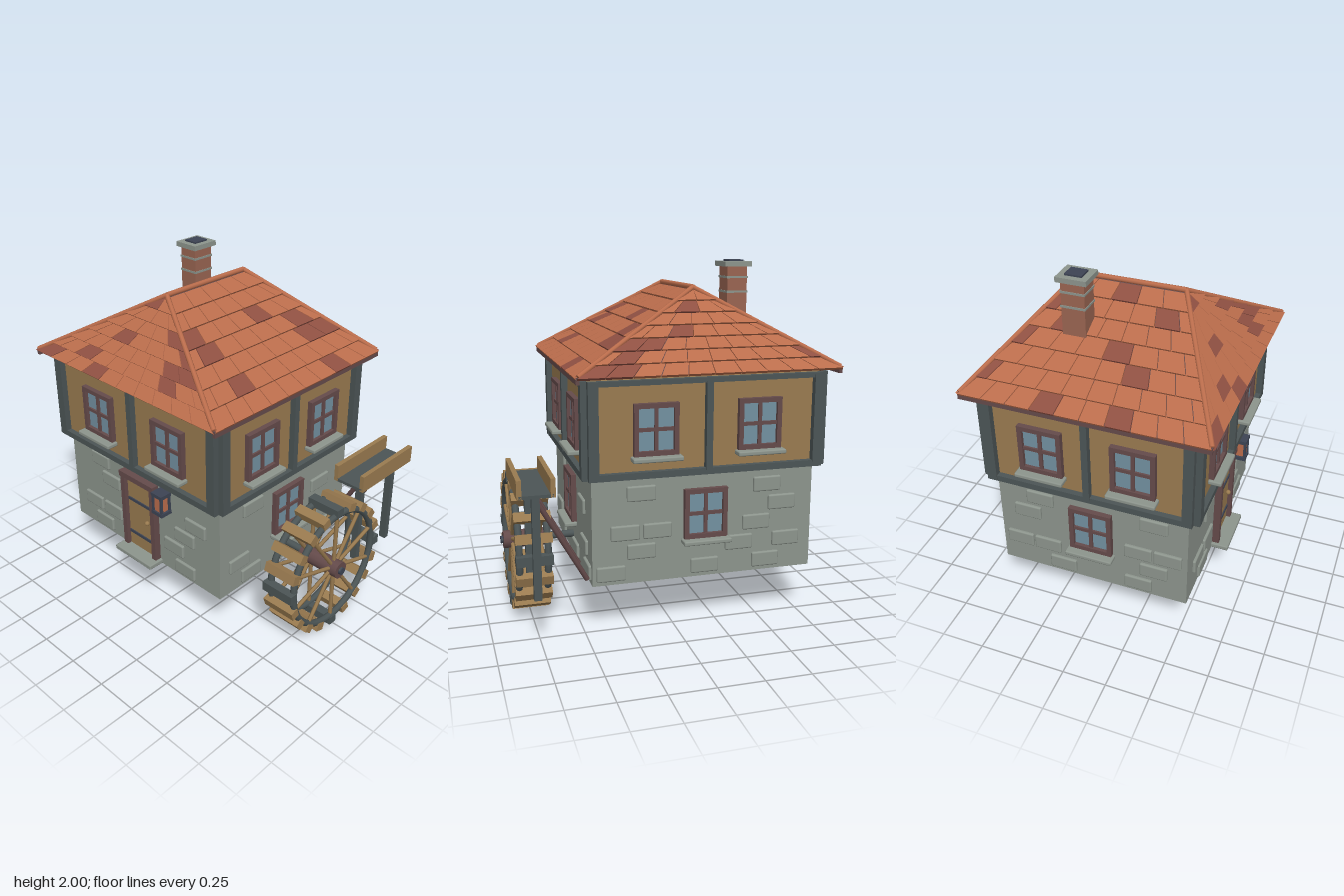
import * as THREE from 'three';
import { mergeGeometries } from 'three/addons/utils/BufferGeometryUtils.js';
import { RoundedBoxGeometry } from 'three/addons/geometries/RoundedBoxGeometry.js';
import { ConvexGeometry } from 'three/addons/geometries/ConvexGeometry.js';

const CX = -0.167; // centre line of the house
const V = (x, y, z) => new THREE.Vector3(x, y, z);

function paint(name, color) {
  const m = new THREE.MeshStandardMaterial({ color });
  m.name = name;
  return m;
}
const stone = paint('stone', 0x8d958d);
const wood = paint('tanWood', 0x9a7b50);
const timber = paint('timber', 0x4c5556);
const frame = paint('frameBrown', 0x654b4b);
const glass = paint('glass', 0x7391a1);
const tile = paint('tile', 0xbb6d4c);
const tileDark = paint('tileDark', 0x8f5042);
const brick = paint('brick', 0x9a6552);
const slate = paint('slate', 0x3d4454);

function add(parent, name, geo, mat, x = 0, y = 0, z = 0) {
  const mesh = new THREE.Mesh(geo, mat);
  mesh.name = name;
  mesh.position.set(x, y, z);
  parent.add(mesh);
  return mesh;
}
const box = (parent, name, mat, w, h, d, x, y, z) =>
  add(parent, name, new THREE.BoxGeometry(w, h, d), mat, x, y, z);

function group(parent, name, x = 0, y = 0, z = 0, ry = 0) {
  const g = new THREE.Group();
  g.name = name;
  g.position.set(x, y, z);
  g.rotation.y = ry;
  parent.add(g);
  return g;
}

// Round bar between two points
function bar(parent, name, mat, a, b, r, sides = 8) {
  const d = b.clone().sub(a);
  const m = add(parent, name, new THREE.CylinderGeometry(r, r, d.length(), sides), mat);
  m.position.copy(a).add(b).multiplyScalar(0.5);
  m.quaternion.setFromUnitVectors(V(0, 1, 0), d.normalize());
}

// Four-pane window with sill; local z = 0 is the wall surface
function addWindow(wall, x, y) {
  const g = group(wall, 'window', x, y, 0);
  const w = 0.245, h = 0.28, t = 0.026;
  box(g, 'pane', glass, w - t, h - t, 0.008, 0, 0, 0.006);
  for (const s of [-1, 1]) {
    box(g, 'windowJamb', frame, t, h, 0.03, s * (w - t) / 2, 0, 0.015);
    box(g, 'windowRail', frame, w - t * 2, t, 0.03, 0, s * (h - t) / 2, 0.015);
  }
  box(g, 'mullion', frame, 0.02, h - t * 2, 0.02, 0, 0, 0.012);
  box(g, 'transom', frame, w - t * 2, 0.02, 0.018, 0, 0, 0.012);
  add(g, 'sill', new RoundedBoxGeometry(0.275, 0.026, 0.075, 1, 0.008), stone, 0, -h / 2 - 0.013, 0.037);
}

// Shell of one tile: lower ring a, upper ring b, counter-clockwise from outside
function tileShell(a, b) {
  const pos = [];
  const quad = (p, q, r, s) => [p, q, r, p, r, s].forEach(v => pos.push(v.x, v.y, v.z));
  quad(...b);
  for (let i = 0; i < 4; i++) {
    const j = (i + 1) % 4;
    quad(a[i], a[j], b[j], b[i]);
  }
  const g = new THREE.BufferGeometry();
  g.setAttribute('position', new THREE.Float32BufferAttribute(pos, 3));
  g.computeVertexNormals();
  return g;
}

function buildRoof(root) {
  const roof = group(root, 'roof');
  let seed = 11;
  const rand = () => (seed = (seed * 16807) % 2147483647) / 2147483647;
  const E = (sx, sz) => V(CX + sx * 0.715, 1.435, sz * 0.67);
  const R = sz => V(CX, 1.845, sz * 0.3);
  const corners = [E(-1, 1), E(1, 1), E(1, -1), E(-1, -1)];
  add(roof, 'roofCore', new ConvexGeometry([...corners, R(1), R(-1)]), frame);

  const slopes = [
    [corners[0], corners[1], R(1), R(1)], [corners[1], corners[2], R(1), R(-1)],
    [corners[2], corners[3], R(-1), R(-1)], [corners[3], corners[0], R(-1), R(1)],
  ];
  const light = [], dark = [], rows = 7;
  for (const [eL, eR, rL, rR] of slopes) {
    const P = (f, t) => eL.clone().lerp(eR, f).lerp(rL.clone().lerp(rR, f), t);
    const n = eR.clone().sub(eL).cross(rL.clone().sub(eL)).normalize();
    for (let row = 0; row < rows; row++) {
      const t0 = row / rows - 0.012, t1 = Math.min((row + 1) / rows, 0.985);
      const width = P(0, t0).distanceTo(P(1, t0));
      const count = Math.max(2, Math.round(width / 0.138));
      const gap = 0.0025 / width, shift = row % 2 ? 0.5 : 0;
      for (let i = 0; i < count + shift; i++) {
        const f0 = Math.max(0, (i - shift) / count) + gap;
        const f1 = Math.min(1, (i + 1 - shift) / count) - gap;
        const ring = [P(f0, t0), P(f1, t0), P(f1, t1), P(f0, t1)];
        const top = ring.map((p, k) => p.clone().addScaledVector(n, k < 2 ? 0.019 : 0.006));
        (rand() < 0.2 ? dark : light).push(tileShell(ring, top));
      }
    }
  }
  add(roof, 'roofTiles', mergeGeometries(light), tile);
  add(roof, 'darkRoofTiles', mergeGeometries(dark), tileDark);

  // Ridge and hip caps, eave boards
  const up = V(0, 0.012, 0);
  bar(roof, 'ridgeCap', tile, R(1).add(up), R(-1).add(up), 0.015);
  for (const c of corners) bar(roof, 'hipCap', tile, c.clone().add(up), R(Math.sign(c.z)).add(up), 0.014);
  for (const s of [-1, 1]) box(roof, 'eaveBoard', frame, 0.018, 0.036, 1.35, CX + s * 0.717, 1.428, 0);

  // Chimney
  const ch = group(root, 'chimney', -0.441, 0, -0.19);
  box(ch, 'chimneyStack', brick, 0.115, 0.4, 0.13, 0, 1.77, 0);
  for (const y of [1.825, 1.905]) box(ch, 'chimneyBand', stone, 0.123, 0.012, 0.138, 0, y, 0);
  box(ch, 'chimneyCap', stone, 0.155, 0.028, 0.17, 0, 1.977, 0);
  box(ch, 'flue', slate, 0.085, 0.02, 0.095, 0, 1.99, 0);
}

function buildWheel(root) {
  const wheel = group(root, 'waterWheel', 0.75, 0.403, 0);
  for (const s of [-1, 1]) {
    add(wheel, 'rim', new THREE.TorusGeometry(0.355, 0.02, 8, 40), timber, s * 0.08).rotation.y = Math.PI / 2;
    for (let i = 0; i < 10; i++) {
      const a = i * Math.PI / 5;
      bar(wheel, 'spoke', wood, V(s * 0.08, 0, 0), V(s * 0.08, Math.cos(a) * 0.345, Math.sin(a) * 0.345), 0.012, 6);
    }
  }
  for (let i = 0; i < 20; i++) {
    const a = i * Math.PI / 10;
    box(wheel, 'paddle', i % 5 ? wood : timber, 0.205, 0.05, 0.055,
      0, Math.cos(a) * 0.377, Math.sin(a) * 0.377).rotation.x = a;
  }
  bar(wheel, 'axle', timber, V(-0.3, 0, 0), V(0.14, 0, 0), 0.022, 12);
  bar(wheel, 'hub', frame, V(-0.135, 0, 0), V(0.13, 0, 0), 0.052, 12);
  bar(wheel, 'hubCap', slate, V(0.13, 0, 0), V(0.145, 0, 0), 0.022, 12);

  // Water trough on posts and wall braces
  const trough = group(root, 'trough', 0.767, 0, 0);
  box(trough, 'troughFloor', timber, 0.18, 0.018, 0.475, 0, 0.845, -0.413);
  for (const s of [-1, 1]) box(trough, 'troughSide', wood, 0.026, 0.1, 0.475, s * 0.087, 0.886, -0.413);
  for (const z of [-0.602, -0.3]) {
    box(trough, 'troughPost', timber, 0.042, 0.57, 0.034, 0, 0.555, z);
    bar(trough, 'troughBrace', frame, V(-0.275, 0.33, z === -0.3 ? z : -0.54), V(0, 0.82, z), 0.014);
  }
}

export function createModel() {
  const root = new THREE.Group();
  root.name = 'waterMill';

  // Stone ground floor, open beneath
  const base = group(root, 'groundFloor', CX, 0.585, 0);
  for (const s of [-1, 1]) {
    box(base, 'stoneWall', stone, 1.264, 0.6, 0.03, 0, 0, s * 0.535);
    box(base, 'stoneWall', stone, 0.03, 0.6, 1.04, s * 0.617, 0, 0);
  }
  box(base, 'ceiling', frame, 1.2, 0.01, 1.04, 0, 0.285, 0);
  box(root, 'plasterWalls', wood, 1.304, 0.52, 1.16, CX, 1.147, 0);

  // Sides: [name, turn, lower half width, lower offset, upper half width, upper offset, window spread, stones]
  const sides = [
    ['front', 0, 0.632, 0.55, 0.655, 0.58, 0.29,
      [[-0.36, 0.79], [-0.27, 0.68], [0.45, 0.68], [0.36, 0.575], [-0.45, 0.465], [-0.27, 0.465], [0.27, 0.465], [-0.36, 0.35], [0.36, 0.35]]],
    ['right', 1, 0.55, 0.632, 0.58, 0.652, 0.257,
      [[-0.29, 0.79], [0.3, 0.68], [-0.4, 0.465], [-0.3, 0.35], [0.36, 0.465], [0.1, 0.35], [0.44, 0.35]]],
    ['back', 2, 0.632, 0.55, 0.655, 0.58, 0.29,
      [[-0.36, 0.79], [0.36, 0.79], [-0.45, 0.575], [-0.27, 0.575], [0.45, 0.68], [0.3, 0.575], [-0.36, 0.465], [0.2, 0.465], [0.48, 0.465], [0, 0.35], [-0.53, 0.35], [0.36, 0.35]]],
    ['left', 3, 0.55, 0.632, 0.58, 0.652, 0.257,
      [[-0.3, 0.79], [0.36, 0.79], [-0.38, 0.68], [0.27, 0.575], [0.44, 0.575], [-0.27, 0.465], [-0.44, 0.465], [0.36, 0.465], [-0.18, 0.35], [0.27, 0.35]]],
  ];
  for (const [name, turn, , lowZ, half, upZ, spread, stones] of sides) {
    const side = group(root, name + 'Side', CX, 0, 0, turn * Math.PI / 2);
    const lower = group(side, name + 'LowerWall', 0, 0, lowZ);
    for (const [x, y] of stones)
      add(lower, 'raisedStone', new RoundedBoxGeometry(0.16, 0.085, 0.03, 2, 0.009), stone, x, y, 0);
    if (turn) addWindow(lower, 0, 0.655);
    if (turn === 3) box(lower, 'innerWindowBoard', wood, 0.19, 0.22, 0.008, 0, 0.655, -0.034);

    const upper = group(side, name + 'UpperWall', 0, 0, upZ);
    for (const s of [-1, 1]) {
      addWindow(upper, s * spread, 1.145);
      box(upper, 'cornerPost', timber, 0.055, 0.52, 0.036, s * (half - 0.0275), 1.15, 0.018);
    }
    box(upper, 'middlePost', timber, 0.036, 0.48, 0.036, 0, 1.15, 0.018);
    box(upper, 'lowerBeam', timber, half * 2, 0.036, 0.032, 0, 0.903, 0.016);
    box(upper, 'upperBeam', timber, half * 2, 0.028, 0.032, 0, 1.396, 0.016);
  }

  // Front door
  const door = group(root, 'door', -0.167, 0, 0.55);
  box(door, 'doorPanel', wood, 0.23, 0.49, 0.09, 0, 0.55, -0.03);
  for (const s of [-1, 1]) box(door, 'doorJamb', frame, 0.034, 0.49, 0.04, s * 0.124, 0.55, 0.02);
  box(door, 'lintel', frame, 0.29, 0.034, 0.046, 0, 0.81, 0.023);
  for (const y of [0.645, 0.41]) box(door, 'doorStrap', slate, 0.2, 0.018, 0.008, 0, y, 0.018);
  add(door, 'doorKnob', new THREE.SphereGeometry(0.015, 12, 8), wood, 0.066, 0.54, 0.028);
  add(door, 'doorStep', new RoundedBoxGeometry(0.315, 0.03, 0.11, 1, 0.008), stone, 0, 0.3, 0.045);

  // Wall lantern
  const lantern = group(root, 'lantern', 0.058, 0.772, 0.6);
  box(lantern, 'lanternGlow', tile, 0.058, 0.1, 0.056, 0, 0, 0);
  for (const s of [-1, 1]) {
    box(lantern, 'lanternPlate', slate, 0.084, 0.022, 0.076, 0, s * 0.058, 0);
    for (const t of [-1, 1]) box(lantern, 'lanternPost', slate, 0.014, 0.1, 0.014, s * 0.032, 0, t * 0.029);
  }
  box(lantern, 'lanternBracket', slate, 0.04, 0.05, 0.03, 0, 0.02, -0.04);

  buildRoof(root);
  buildWheel(root);
  return root;
}
